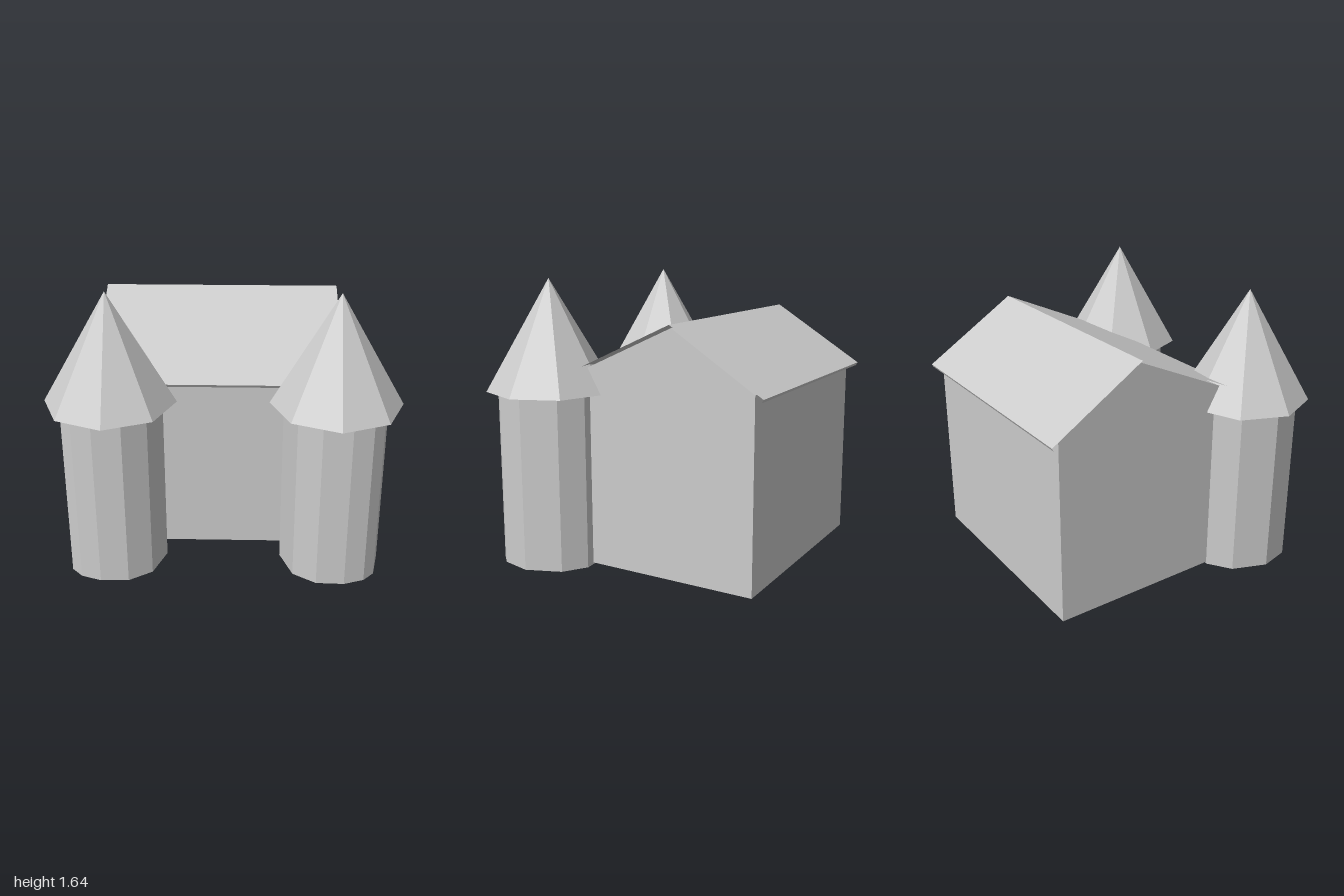
import * as THREE from 'three';

const material = new THREE.MeshStandardMaterial({
  color: 0xcccccc, flatShading: true, side: THREE.DoubleSide,
});

function addMesh(parent, name, geometry) {
  const mesh = new THREE.Mesh(geometry, material);
  mesh.name = name;
  parent.add(mesh);
  return mesh;
}

// Slightly irregular tower outline (x, z) around its axis; +x points outward.
const towerOutline = [
  [0.29, 0], [0.25, 0.175], [0.186, 0.24], [0.07, 0.28], [-0.09, 0.275], [-0.22, 0.19],
  [-0.29, 0], [-0.24, -0.17], [-0.1, -0.28], [0.08, -0.29], [0.21, -0.2],
];

// Sheet swept between two equal rows of points.
function sheet(rowA, rowB, closed) {
  const n = rowA.length;
  const geometry = new THREE.BufferGeometry();
  geometry.setAttribute('position', new THREE.Float32BufferAttribute([...rowA, ...rowB].flat(), 3));
  const index = [];
  for (let i = 0; i < (closed ? n : n - 1); i++) {
    const j = (i + 1) % n;
    index.push(i, n + i, n + j, i, n + j, j);
  }
  geometry.setIndex(index);
  const flat = geometry.toNonIndexed();
  flat.computeVertexNormals();
  return flat;
}

function makeTower(side) {
  const tower = new THREE.Group();
  tower.name = side > 0 ? 'leftTower' : 'rightTower';
  tower.position.set(side * 0.627, 0, 0.495);

  // Open faceted shaft, mirrored for the other side; order is kept outward-facing
  const outline = side > 0 ? towerOutline : [...towerOutline].reverse();
  const row = (y) => outline.map(([x, z]) => [x * side, y, z]);
  addMesh(tower, 'towerWall', sheet(row(1.01), row(0), true));

  // Eight-sided spire with an overhang
  const spire = addMesh(tower, 'spire', new THREE.ConeGeometry(0.37, 0.635, 8));
  spire.position.y = 1.01 + 0.635 / 2;
  return tower;
}

export function createModel() {
  const model = new THREE.Group();
  model.name = 'gatehouse';

  // Gabled body: side profile (-z, y) extruded along x
  const profile = new THREE.Shape([
    [-0.36, 0.01], [0.81, 0.01], [0.81, 1.1], [0.32, 1.41], [-0.36, 1.095],
  ].map(([a, b]) => new THREE.Vector2(a, b)));
  const body = addMesh(model, 'house', new THREE.ExtrudeGeometry(profile, { depth: 1.35, bevelEnabled: false }));
  body.rotation.y = Math.PI / 2;
  body.position.x = -0.7;

  // Thin folded roof with small turned-in lips at the eaves
  const fold = [[0.415, 1.063], [0.425, 1.08], [-0.325, 1.43], [-0.87, 1.088], [-0.86, 1.07]];
  const roofRow = (x) => fold.map(([z, y]) => [x, y, z]);
  addMesh(model, 'roof', sheet(roofRow(-0.74), roofRow(0.68), false));

  for (const side of [1, -1]) model.add(makeTower(side));
  return model;
}
